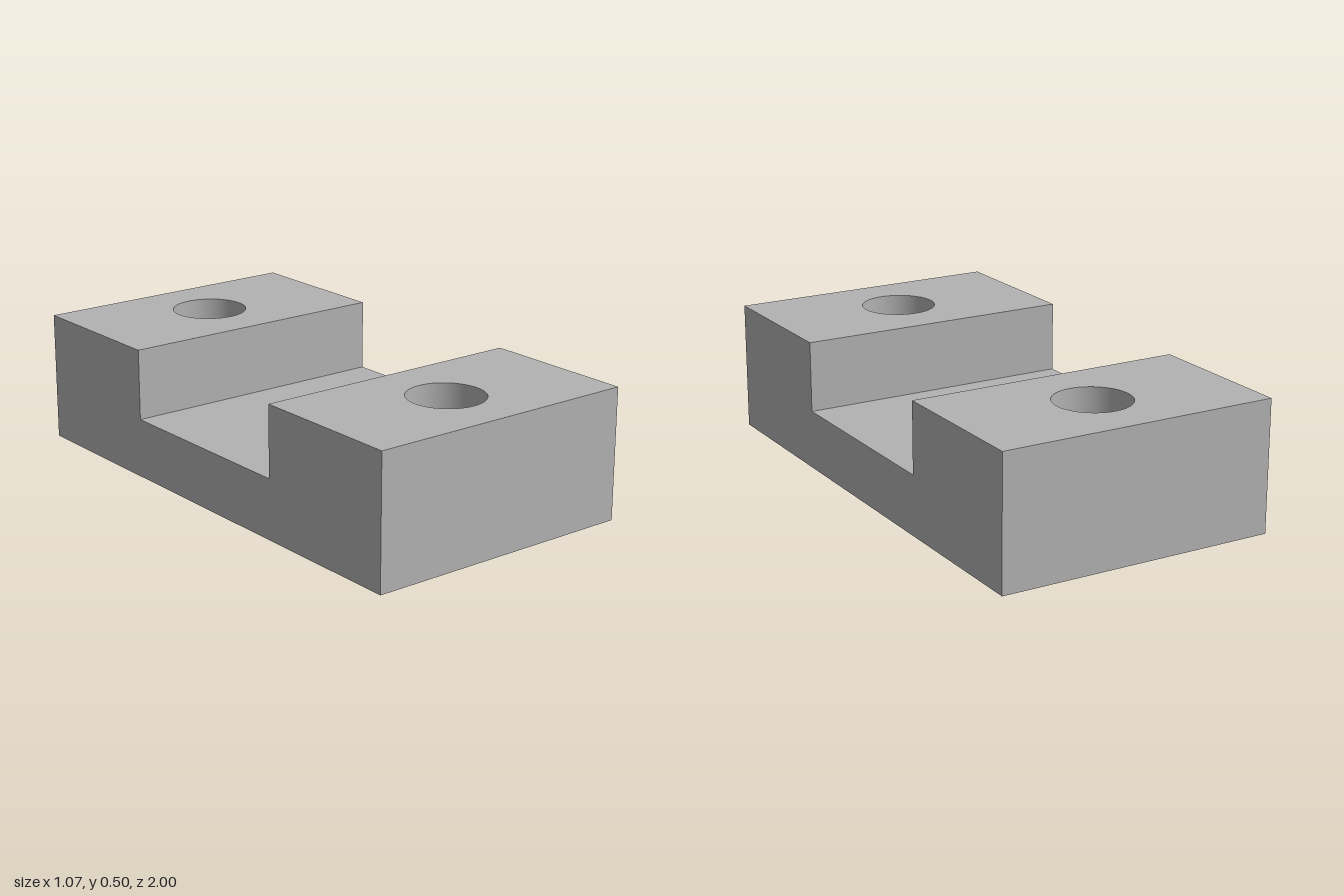
import * as THREE from 'three';
import { mergeGeometries } from 'three/addons/utils/BufferGeometryUtils.js';

const W = 0.535;        // half width (x)
const L = 1;            // half length (z)
const H = 0.498;        // full height
const FLOOR = 0.228;    // height of the channel floor
const SLOT = 0.4;       // half width of the channel
const HOLE_Z = 0.703;   // hole centres
const HOLE_R = 0.143;
const ARC = 24;         // the outline of a hole gets 2 * ARC sides

// Horizontal panel spanning z0..z1 at height y, pierced by round holes
function panel(z0, z1, y, holes, up = true) {
  const s = up ? -1 : 1;
  const shape = new THREE.Shape([[-W, z0], [W, z0], [W, z1], [-W, z1]]
    .map(([x, z]) => new THREE.Vector2(x, s * z)));
  for (const z of holes) {
    shape.holes.push(new THREE.Path().absarc(0, s * z, HOLE_R, 0, Math.PI * 2, true));
  }
  return new THREE.ShapeGeometry(shape, ARC).rotateX(s * Math.PI / 2).translate(0, y, 0);
}

// Upright wall across the block, facing +z or -z
function wall(z, y0, y1, facing) {
  return new THREE.PlaneGeometry(2 * W, y1 - y0)
    .rotateY(facing > 0 ? 0 : Math.PI)
    .translate(0, (y0 + y1) / 2, z);
}

// U-shaped side face
function sideFace(side) {
  const shape = new THREE.Shape([
    [-L, 0], [L, 0], [L, H], [SLOT, H], [SLOT, FLOOR], [-SLOT, FLOOR], [-SLOT, H], [-L, H],
  ].map(([z, y]) => new THREE.Vector2(z, y)));
  return new THREE.ShapeGeometry(shape).rotateY(side * Math.PI / 2).translate(side * W, 0, 0);
}

export function createModel() {
  const grey = new THREE.MeshStandardMaterial({ color: 0xb2b2b2 });
  grey.name = 'grey';
  const group = new THREE.Group();
  group.name = 'slottedBlock';

  // Block: underside, channel floor, then the mirrored raised ends and sides
  const faces = [
    panel(-L, L, 0, [-HOLE_Z, HOLE_Z], false),
    panel(-SLOT, SLOT, FLOOR, []),
  ];
  for (const s of [-1, 1]) {
    faces.push(
      panel(s * L, s * SLOT, H, [s * HOLE_Z]),
      wall(s * L, 0, H, s),
      wall(s * SLOT, FLOOR, H, -s),
      sideFace(s),
    );
  }
  const block = new THREE.Mesh(mergeGeometries(faces), grey);
  block.name = 'block';
  group.add(block);

  // Bores: profile runs downwards so that the surface faces inwards
  const boreProfile = [new THREE.Vector2(HOLE_R, H), new THREE.Vector2(HOLE_R, 0)];
  const boreGeometry = new THREE.LatheGeometry(boreProfile, ARC * 2);
  for (const s of [-1, 1]) {
    const bore = new THREE.Mesh(boreGeometry, grey);
    bore.name = s > 0 ? 'frontBore' : 'backBore';
    bore.position.z = s * HOLE_Z;
    group.add(bore);
  }
  return group;
}
